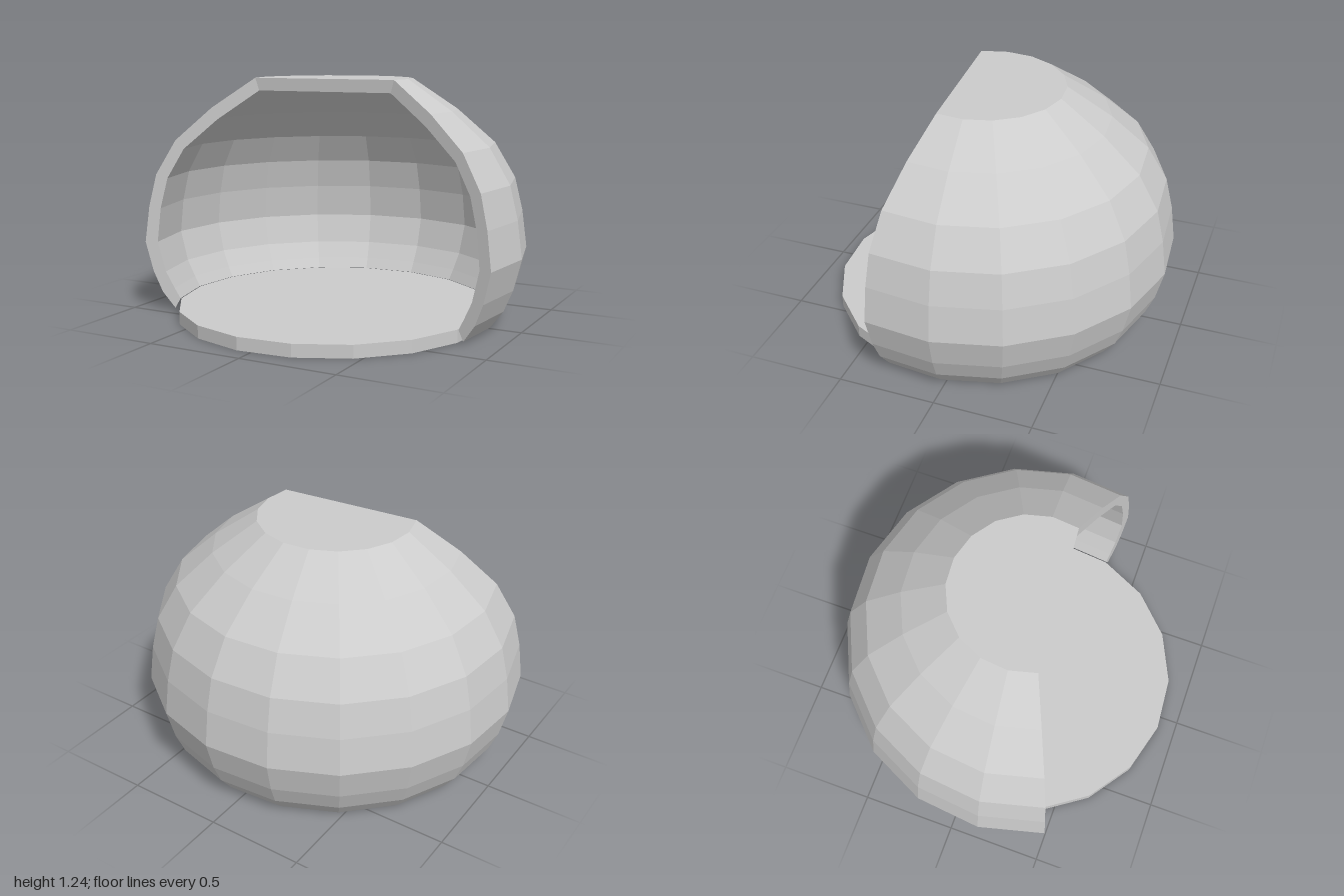
import * as THREE from 'three';

const RAD = Math.PI / 180;
const STEPS = 11;            // shell covers 11 of 18 sectors
const START = 74.5 * RAD;
const SWEEP = 220 * RAD;
const CENTRE_Z = 0.09;

// Wall profiles as [radius, height], bottom to top
const OUTER = [[0.848, 0.012], [0.914, 0.1], [0.96, 0.21], [1, 0.37], [0.975, 0.56],
  [0.934, 0.73], [0.828, 0.91], [0.635, 1.08], [0.405, 1.235]];
const INNER = [[0.82, 0.065], [0.85, 0.12], [0.895, 0.21], [0.935, 0.37], [0.915, 0.55],
  [0.875, 0.71], [0.785, 0.865], [0.605, 1.02], [0.385, 1.17]];

const material = new THREE.MeshStandardMaterial({ color: 0xcccccc, flatShading: true });

function addMesh(group, name, geometry) {
  const mesh = new THREE.Mesh(geometry, material);
  mesh.name = name;
  group.add(mesh);
  return mesh;
}

// Point on the shell at sector k
function at([r, y], k) {
  const phi = START + SWEEP * k / STEPS;
  return new THREE.Vector3(r * Math.sin(phi), y, r * Math.cos(phi));
}

// Flat convex polygons, each a counter-clockwise list of points, cut into fans
function polygons(list) {
  const points = [];
  for (const p of list) {
    for (let i = 1; i < p.length - 1; i++) points.push(p[0], p[i], p[i + 1]);
  }
  const geometry = new THREE.BufferGeometry().setFromPoints(points);
  geometry.computeVertexNormals();
  return geometry;
}

function wall(profile) {
  const points = profile.map(([r, y]) => new THREE.Vector2(r, y));
  return new THREE.LatheGeometry(points, STEPS, START, SWEEP);
}

export function createModel() {
  const model = new THREE.Group();
  model.name = 'openDome';
  const body = new THREE.Group();
  body.name = 'body';
  body.position.z = CENTRE_Z;
  model.add(body);

  // Curved walls, with the narrow underside lip joined to the outer one
  addMesh(body, 'outerWall', wall([[0.815, 0.012], ...OUTER]));
  addMesh(body, 'innerWall', wall([...INNER].reverse()));

  // Flat roof and ceiling, cut straight across at the front
  const ring = (p) => Array.from({ length: STEPS + 1 }, (_, k) => at(p, k));
  const top = OUTER.at(-1), under = INNER.at(-1);
  addMesh(body, 'roof', polygons([ring(top)]));
  addMesh(body, 'ceiling', polygons([ring(under).reverse()]));

  // Rim around the opening: both wall ends and the roof edge
  const rim = [[at(top, STEPS), at(under, STEPS), at(under, 0), at(top, 0)]];
  for (let i = 0; i < OUTER.length - 1; i++) {
    const quad = [OUTER[i], OUTER[i + 1], INNER[i + 1], INNER[i]];
    rim.push(quad.map((p) => at(p, 0)));
    rim.push(quad.map((p) => at(p, STEPS)).reverse());
  }
  addMesh(body, 'openingRim', polygons(rim));

  // Floor disc
  const floor = addMesh(body, 'floor',
    new THREE.CylinderGeometry(0.815, 0.815, 0.065, 18, 1, false, START));
  floor.position.y = 0.0325;

  return model;
}
